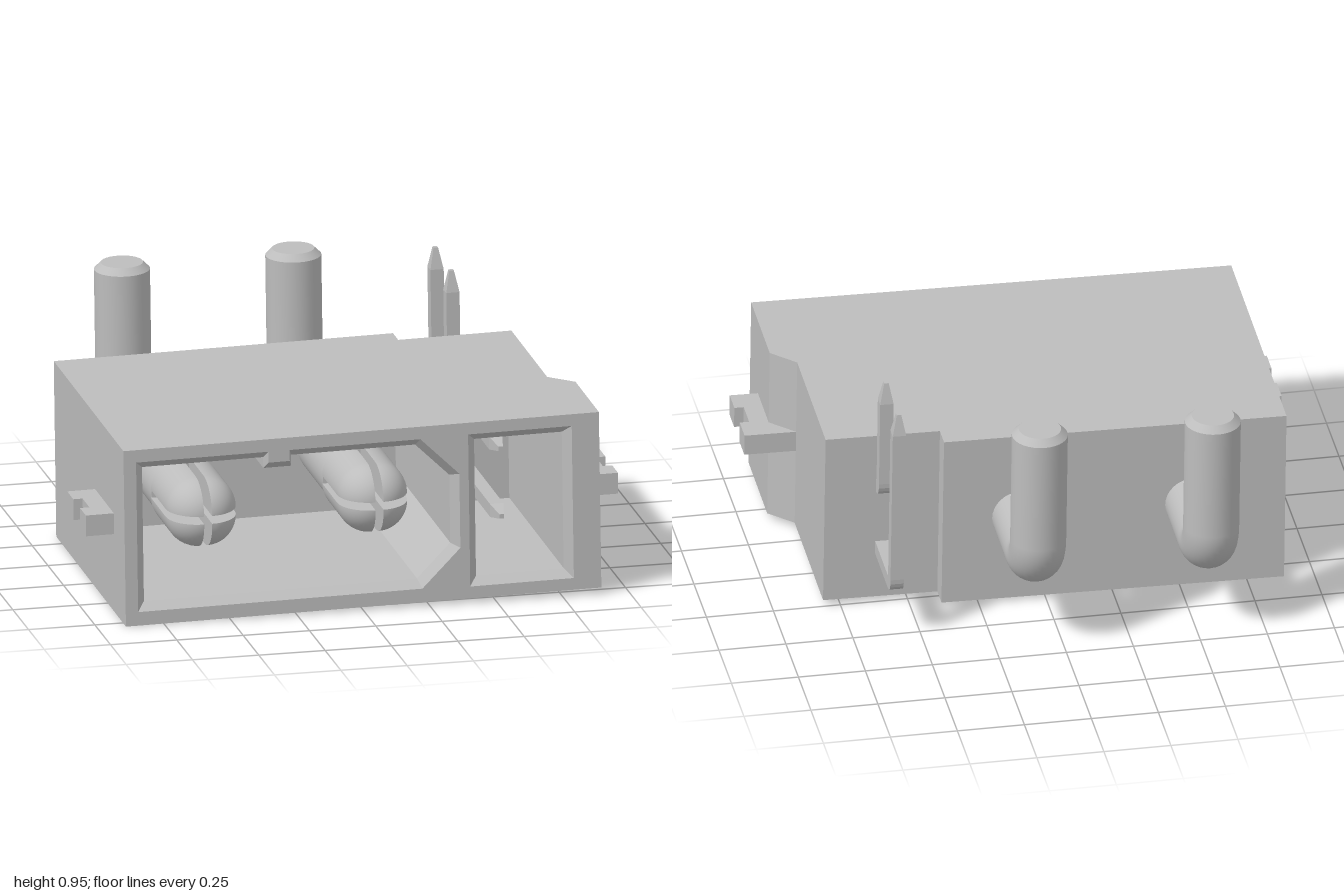
import * as THREE from 'three';

const grey = new THREE.MeshStandardMaterial({ color: 0xbdbdbd, side: THREE.DoubleSide });
grey.name = 'plain grey';

const v2 = pts => pts.map(([x, y]) => new THREE.Vector2(x, y));

function add(parent, name, geometry, x = 0, y = 0, z = 0) {
  const mesh = new THREE.Mesh(geometry, grey);
  mesh.name = name;
  mesh.position.set(x, y, z);
  parent.add(mesh);
  return mesh;
}

// Flat-faced walls between rings [z, points], front to back; anticlockwise rings face outward
function loft(rings) {
  const pos = [];
  const tri = (...corners) => {
    const [a, b, c] = corners.map(p => new THREE.Vector3(...p));
    if (new THREE.Triangle(a, b, c).getArea() > 1e-7) corners.forEach(p => pos.push(...p));
  };
  for (let k = 0; k + 1 < rings.length; k++) {
    const [z0, r0] = rings[k], [z1, r1] = rings[k + 1];
    for (let i = 0; i < r0.length; i++) {
      const j = (i + 1) % r0.length;
      const a = [...r0[i], z0], b = [...r0[j], z0], c = [...r1[j], z1], d = [...r1[i], z1];
      tri(a, d, c);
      tri(a, c, b);
    }
  }
  const g = new THREE.BufferGeometry();
  g.setAttribute('position', new THREE.Float32BufferAttribute(pos, 3));
  g.computeVertexNormals();
  return g;
}

const FRONT = 0.802, BACK = -0.335, STEP = -0.25, CAVITY_BACK = -0.12;
const BOTTOM = 0.015, TOP = 0.69;
const rect = (x0, x1, y0, y1) => [[x0, y0], [x1, y0], [x1, y1], [x0, y1]];
const section = right => rect(-0.895, right, BOTTOM, TOP);

// Main opening with cut corners on one side and a key at the top; d shrinks it
const mainOpening = d => [
  [-0.848 + d, 0.067 + d], [0.222 - d * 0.4, 0.067 + d], [0.367 - d, 0.212 + d * 0.4],
  [0.367 - d, 0.497 - d * 0.4], [0.222 - d * 0.4, 0.642 - d],
  [-0.27 + d * 0.4, 0.642 - d], [-0.27 + d * 0.4, 0.6 - d],
  [-0.35 - d * 0.4, 0.6 - d], [-0.35 - d * 0.4, 0.642 - d], [-0.848 + d, 0.642 - d],
];
const sideOpening = d => rect(0.402 + d, 0.792 - d, 0.06 + d, 0.645 - d);

function housing() {
  const g = new THREE.Group();
  g.name = 'housing';
  add(g, 'outerWalls', loft([
    [FRONT, section(0.895)], [0.42, section(0.895)], [0.335, section(0.808)],
    [STEP, section(0.808)], [STEP, section(0.382)], [BACK, section(0.382)],
  ]));
  const face = new THREE.Shape(v2(section(0.895)));
  for (const opening of [mainOpening, sideOpening]) {
    face.holes.push(new THREE.Path(v2(opening(0))));
    const outer = opening(0).reverse(), inner = opening(0.03).reverse();
    add(g, 'cavityWalls', loft([[FRONT, outer], [FRONT - 0.035, inner], [CAVITY_BACK, inner]]));
    add(g, 'cavityBack', new THREE.ShapeGeometry(new THREE.Shape(v2(opening(0.03)))), 0, 0, CAVITY_BACK);
  }
  add(g, 'frontFace', new THREE.ShapeGeometry(face), 0, 0, FRONT);
  const back = new THREE.ShapeGeometry(new THREE.Shape(v2(rect(-0.382, 0.895, BOTTOM, TOP)))).rotateY(Math.PI);
  add(g, 'backFace', back, 0, 0, BACK);
  return g;
}

// Notched side tab, outline in x and z
function sideTab(side) {
  const root = side > 0 ? 0.79 : 0.88, z = side > 0 ? 0.335 : 0.322;
  const outline = [[root, 0], [1, 0], [1, 0.1], [0.965, 0.1], [0.965, 0.21], [1, 0.21], [1, 0.305], [root, 0.305]];
  const shape = new THREE.Shape(v2(outline.map(([x, w]) => [x * side, w])));
  const geo = new THREE.ExtrudeGeometry(shape, { depth: 0.08, bevelEnabled: false }).rotateX(Math.PI / 2);
  return [geo, 0, 0.398, z];
}

// Round contact: slotted domed head, shaft, bend and upright leg
function powerPin(x) {
  const g = new THREE.Group();
  g.name = 'powerPin';
  g.position.set(x, 0.355, 0);
  const r = 0.103, bend = 0.115, legZ = -0.705, legTop = 0.575;

  const slotZ = 0.3, headR = 0.115, straight = 0.24, gap = 0.015;
  const profile = [[headR, 0]];
  for (let i = 0; i <= 10; i++) {
    const a = (i / 10) * Math.PI / 2;
    profile.push([headR * Math.cos(a), straight + 0.13 * Math.sin(a)]);
  }
  const side = new THREE.Shape(v2([[0, 0], ...profile]));
  for (let q = 0; q < 4; q++) {
    const prong = new THREE.Group();
    prong.name = 'headProng';
    const place = geo => geo.translate(gap, 0, gap).rotateY(q * Math.PI / 2).rotateX(Math.PI / 2);
    add(prong, 'prongSurface', place(new THREE.LatheGeometry(v2(profile), 10, 0, Math.PI / 2)));
    add(prong, 'prongSide', place(new THREE.ShapeGeometry(side)));
    add(prong, 'prongSide', place(new THREE.ShapeGeometry(side).rotateY(-Math.PI / 2)));
    prong.position.z = slotZ;
    g.add(prong);
  }
  const coreLen = slotZ - CAVITY_BACK;
  add(g, 'shaft', new THREE.CylinderGeometry(0.128, 0.128, coreLen, 32).rotateX(Math.PI / 2), 0, 0, slotZ - coreLen / 2);

  const bendZ = legZ + bend, len = BACK + 0.02 - bendZ;
  add(g, 'rearShaft', new THREE.CylinderGeometry(r, r, len, 32, 1, true).rotateX(Math.PI / 2), 0, 0, bendZ + len / 2);
  const elbow = new THREE.TorusGeometry(bend, r, 32, 16, Math.PI / 2).rotateZ(Math.PI).rotateY(-Math.PI / 2);
  add(g, 'elbow', elbow, 0, bend, bendZ);
  const legLen = legTop - 0.025 - bend;
  add(g, 'leg', new THREE.CylinderGeometry(r, r, legLen, 32, 1, true), 0, bend + legLen / 2, legZ);
  add(g, 'legTip', new THREE.CylinderGeometry(0.078, r, 0.025, 32), 0, legTop - 0.0125, legZ);
  return g;
}

// Square contact bent upward, with tapered ends
function signalPin(y, legZ, top) {
  const g = new THREE.Group();
  g.name = 'signalPin';
  const h = 0.025, frontZ = 0.42, tip = 0.08, curve = 0.06, end = top - tip;
  const s = new THREE.Shape();
  s.moveTo(frontZ, y - h);
  s.lineTo(frontZ, y + h);
  s.lineTo(legZ + h + 0.012, y + h);
  s.quadraticCurveTo(legZ + h, y + h, legZ + h, y + h + 0.012);
  s.lineTo(legZ + h, end);
  s.lineTo(legZ - h, end);
  s.lineTo(legZ - h, y - h + curve);
  s.quadraticCurveTo(legZ - h, y - h, legZ - h + curve, y - h);
  const geo = new THREE.ExtrudeGeometry(s, { depth: h * 2, bevelEnabled: false, curveSegments: 6 });
  add(g, 'bentBar', geo.rotateY(-Math.PI / 2), 0.592 + h, 0, 0);
  const taper = () => new THREE.CylinderGeometry(0.012, h * Math.SQRT2, tip, 4)
    .rotateY(Math.PI / 4).toNonIndexed();
  const upper = taper(), front = taper().rotateX(Math.PI / 2);
  upper.computeVertexNormals();
  front.computeVertexNormals();
  add(g, 'upperTip', upper, 0.592, end + tip / 2, legZ);
  add(g, 'frontTip', front, 0.592, y, frontZ + tip / 2);
  return g;
}

export function createModel() {
  const model = new THREE.Group();
  model.name = 'connector';
  const body = new THREE.Group();
  body.name = 'connectorBody';
  body.add(housing());
  add(body, 'leftTab', ...sideTab(1));
  add(body, 'rightTab', ...sideTab(-1));
  for (const x of [-0.55, 0.095]) body.add(powerPin(x));
  body.add(signalPin(0.482, -0.282, 0.932), signalPin(0.222, -0.54, 0.942));

  // The whole part sits very slightly tilted
  body.rotation.set(0, -0.005, 0.014);
  body.position.x = 0.005;
  model.add(body);
  return model;
}
